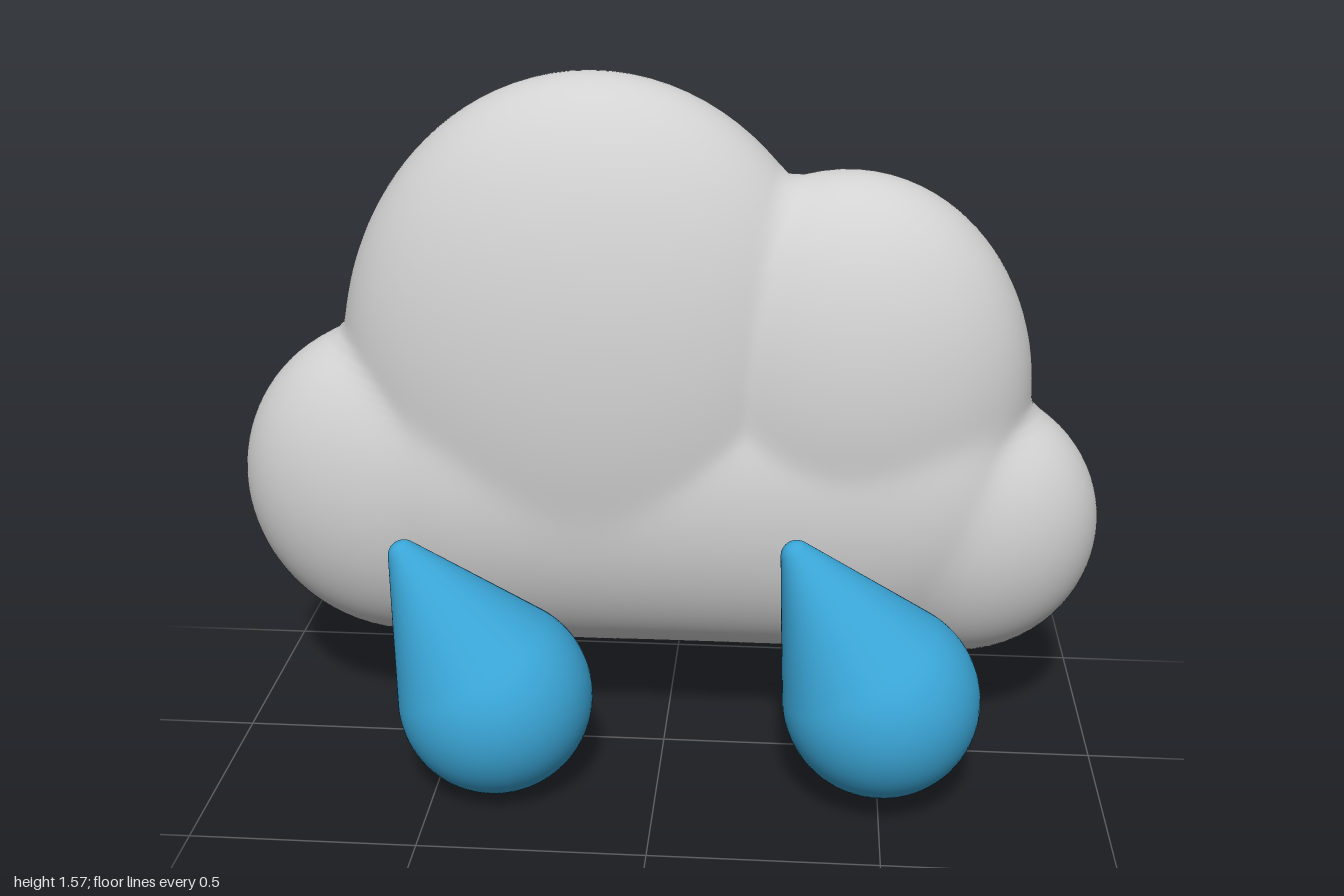
import * as THREE from 'three';
import { mergeVertices } from 'three/addons/utils/BufferGeometryUtils.js';

const cloudGrey = new THREE.MeshStandardMaterial({ color: 0xd2d2d2 });
cloudGrey.name = 'cloudGrey';
const rainBlue = new THREE.MeshStandardMaterial({ color: 0x3aa5d6 });
rainBlue.name = 'rainBlue';

// Puffs of the cloud: centre x, y and radii x, y, z
const puffs = [
  [-0.17, 0.9, 0.58, 0.67, 0.293],
  [0.4, 0.86, 0.425, 0.5, 0.262],
  [-0.615, 0.61, 0.385, 0.39, 0.23],
  [0.67, 0.54, 0.325, 0.325, 0.22],
];
const core = new THREE.Vector3(0, 0.68, 0);

// Distance along a ray from the core to the far side of a puff (0 if missed)
function puffDistance(d, [cx, cy, rx, ry, rz]) {
  const ox = (core.x - cx) / rx, oy = (core.y - cy) / ry;
  const dx = d.x / rx, dy = d.y / ry, dz = d.z / rz;
  const a = dx * dx + dy * dy + dz * dz;
  const b = ox * dx + oy * dy;
  const disc = b * b - a * (ox * ox + oy * oy - 1);
  return disc < 0 ? 0 : Math.max(0, (-b + Math.sqrt(disc)) / a);
}

// Long flat-bottomed body that joins the puffs
function bodyDistance(d) {
  let lo = 0, hi = 1.2;
  for (let i = 0; i < 30; i++) {
    const t = (lo + hi) / 2;
    const x = (d.x * t - 0.03) / 0.8;
    const y = (core.y + d.y * t - 0.62) / 0.402;
    const z = (d.z * t) / 0.262;
    if (x ** 6 + y * y + z * z < 1) lo = t; else hi = t;
  }
  return lo;
}

// Skin over all the puffs, with softly blended creases
function cloudGeometry() {
  let g = new THREE.SphereGeometry(1, 180, 100).rotateX(Math.PI / 2);
  g.deleteAttribute('uv');
  g.deleteAttribute('normal');
  g = mergeVertices(g, 1e-5);
  const pos = g.attributes.position;
  const d = new THREE.Vector3();
  const soft = 0.012;
  for (let i = 0; i < pos.count; i++) {
    d.fromBufferAttribute(pos, i);
    d.set(d.x * 0.9, d.y * 0.65, d.z * 0.35).normalize();
    const hits = [bodyDistance(d), ...puffs.map((p) => puffDistance(d, p))];
    const far = Math.max(...hits);
    const k = soft * Math.min(1, far / 0.6);
    const r = far + k * Math.log(hits.reduce((s, h) => s + Math.exp((h - far) / k), 0));
    pos.setXYZ(i, core.x + d.x * r, core.y + d.y * r, d.z * r);
  }
  g.computeVertexNormals();
  return g;
}

// Teardrop: big round end joined by a straight flank to a small round tip
function dropGeometry() {
  const R = 0.219, tipR = 0.035, reach = 0.39;
  const slope = Math.asin((R - tipR) / reach);
  const pts = [];
  for (let i = 0; i <= 28; i++) {
    const a = -Math.PI / 2 + (i / 28) * (Math.PI / 2 + slope);
    pts.push(new THREE.Vector2(Math.max(0, R * Math.cos(a)), R * Math.sin(a)));
  }
  for (let i = 0; i <= 10; i++) {
    const a = slope + (i / 10) * (Math.PI / 2 - slope);
    pts.push(new THREE.Vector2(Math.max(0, tipR * Math.cos(a)), reach + tipR * Math.sin(a)));
  }
  return new THREE.LatheGeometry(pts, 64);
}

export function createModel() {
  const group = new THREE.Group();
  group.name = 'rainCloud';

  const cloud = new THREE.Mesh(cloudGeometry(), cloudGrey);
  cloud.name = 'cloud';
  cloud.position.z = -0.137;
  group.add(cloud);

  // Two raindrops leaning to one side
  const drop = dropGeometry();
  [['rightRaindrop', -0.364, 0.222], ['leftRaindrop', 0.499, 0.25]].forEach(([name, x, y]) => {
    const m = new THREE.Mesh(drop, rainBlue);
    m.name = name;
    m.position.set(x, y, 0.215);
    m.rotation.z = 0.52;
    group.add(m);
  });
  return group;
}
